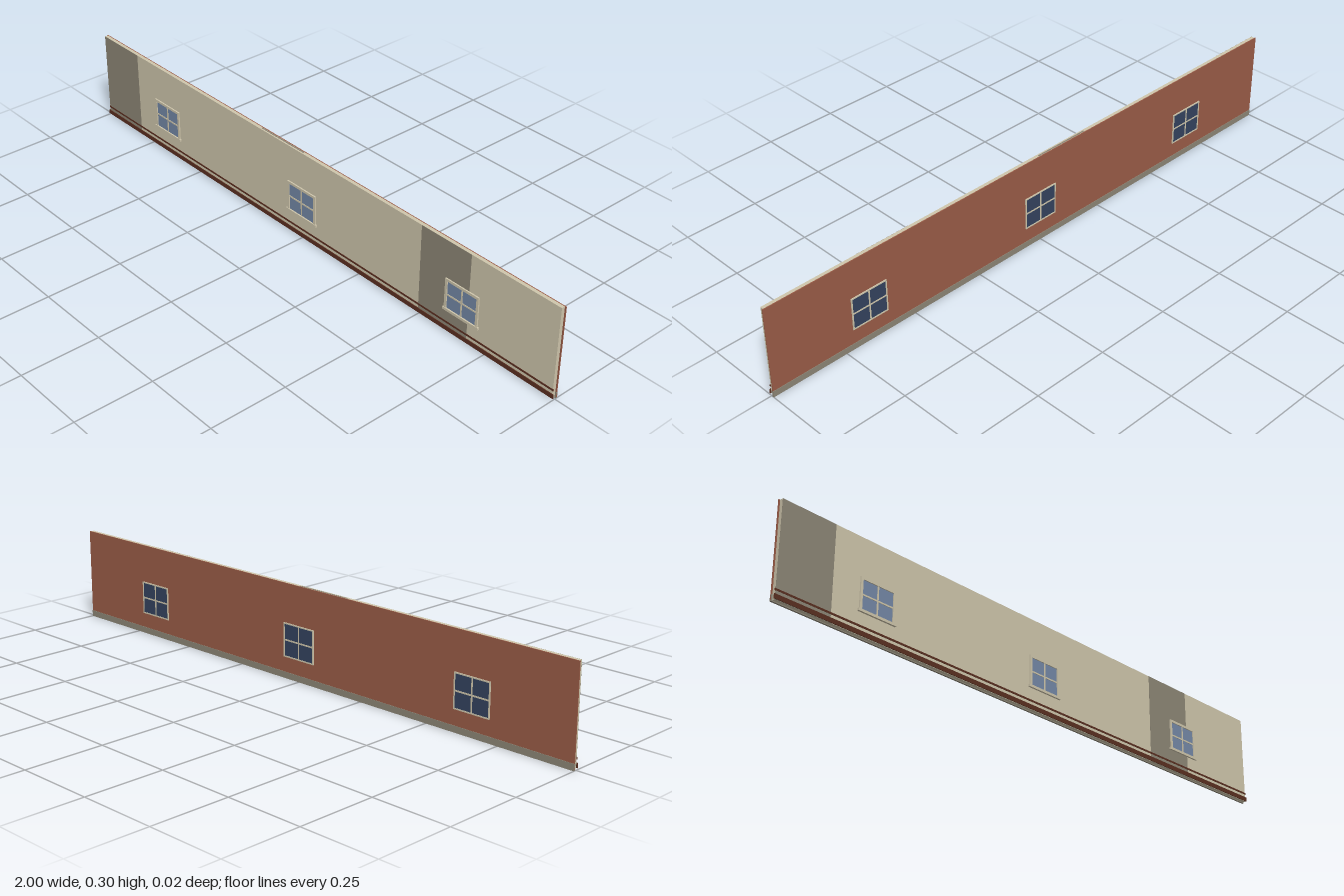
import * as THREE from 'three';

function mat(name, color) {
  const m = new THREE.MeshStandardMaterial({ color });
  m.name = name;
  return m;
}

export function createModel() {
  const plaster = mat('cream plaster', 0xcfc6ac);
  const shade = mat('grey plaster', 0x8d8676);
  const brick = mat('red brick', 0x9a5c47);
  const wood = mat('dark brown wood', 0x5a2f20);
  const glass = mat('blue glass', 0x7488a6);
  const darkGlass = mat('dark glass', 0x34435f);

  const model = new THREE.Group();
  model.name = 'wall';

  // Box given by its lower and upper corners
  function box(parent, name, material, x0, x1, y0, y1, z0, z1) {
    const mesh = new THREE.Mesh(new THREE.BoxGeometry(x1 - x0, y1 - y0, z1 - z0), material);
    mesh.position.set((x0 + x1) / 2, (y0 + y1) / 2, (z0 + z1) / 2);
    mesh.name = name;
    parent.add(mesh);
  }

  // Wall layers
  box(model, 'innerWall', plaster, -0.996, 0.996, 0.003, 0.297, -0.005, 0.006);
  box(model, 'outerWall', brick, -1, 1, 0.003, 0.297, -0.008, -0.005);

  // Grey plaster panels on the inner face and a grey patch on the top edge
  box(model, 'greyPanel', shade, -0.996, -0.815, 0.003, 0.297, 0.006, 0.0065);
  box(model, 'greyPanel', shade, 0.497, 0.684, 0.003, 0.297, 0.006, 0.0065);
  box(model, 'topPatch', shade, -0.19, 0, 0.297, 0.2975, -0.004, 0.001);

  // Skirting, rail and outer plinth
  box(model, 'skirting', wood, -1, 1, 0.004, 0.018, 0.006, 0.0085);
  box(model, 'rail', wood, -0.998, 0.998, 0.028, 0.034, 0.005, 0.0072);
  box(model, 'plinth', shade, -1, 1, 0, 0.02, -0.0095, -0.004);

  // Window side: frame border and glazing bars around a recessed pane
  function windowSide(parent, name, paneMaterial, y0, y1, border, z0, zPane, z1) {
    const side = new THREE.Group();
    side.name = name;
    parent.add(side);
    const w = 0.0625, bar = 0.0025, mid = (y0 + y1) / 2;
    const back = Math.min(z0, z1), front = Math.max(z0, z1);
    const p0 = Math.min(z0, zPane), p1 = Math.max(z0, zPane);
    box(side, 'pane', paneMaterial, -w + border, w - border, y0 + border, y1 - border, p0, p1);
    for (const s of [-1, 1]) {
      const a = s * w, b = s * (w - border);
      box(side, 'jamb', plaster, Math.min(a, b), Math.max(a, b), y0, y1, back, front);
    }
    box(side, 'head', plaster, -w + border, w - border, y1 - border, y1, back, front);
    box(side, 'bottomRail', plaster, -w + border, w - border, y0, y0 + border, back, front);
    const b0 = Math.min(z0, (zPane + z1) / 2), b1 = Math.max(z0, (zPane + z1) / 2);
    box(side, 'uprightBar', plaster, -bar, bar, y0 + border, y1 - border, b0, b1);
    box(side, 'crossBar', plaster, -w + border, w - border, mid - bar, mid + bar, b0, b1);
  }

  // Three windows, seen from both sides
  for (const x of [-0.66, 0, 0.66]) {
    const win = new THREE.Group();
    win.name = 'window';
    win.position.x = x;
    windowSide(win, 'innerFrame', glass, 0.072, 0.177, 0.008, 0.005, 0.0075, 0.0105);
    windowSide(win, 'outerFrame', darkGlass, 0.068, 0.175, 0.004, -0.007, -0.0095, -0.011);
    box(win, 'sill', plaster, -0.067, 0.067, 0.072, 0.08, 0.005, 0.012);
    model.add(win);
  }

  return model;
}
